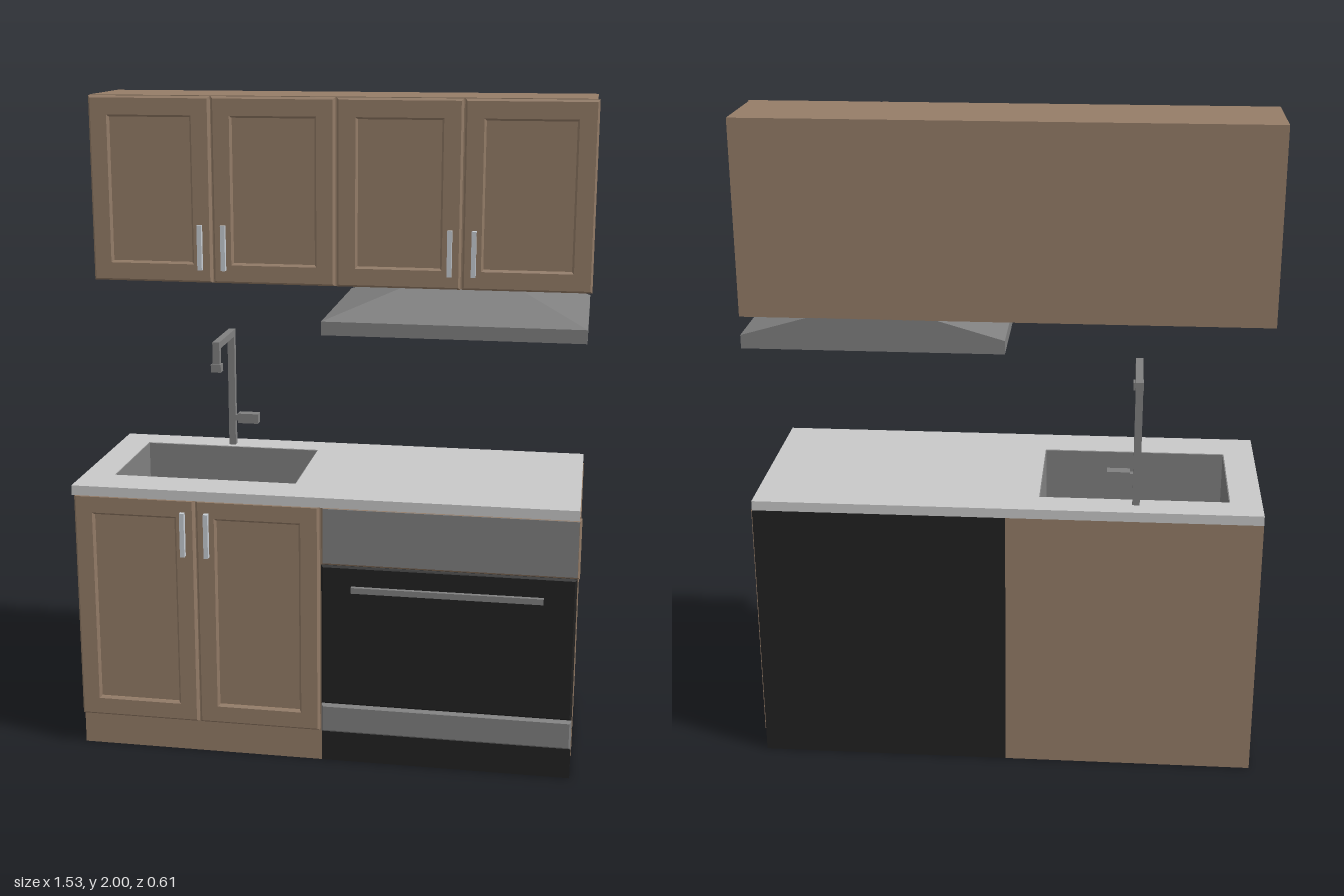
import * as THREE from 'three';

const mat = (name, color) => Object.assign(new THREE.MeshStandardMaterial({ color }), { name });

export function createModel() {
  const kitchen = new THREE.Group();
  kitchen.name = 'kitchenette';
  const wood = mat('wood', 0x957d68);
  const steel = mat('steel', 0x808080);
  const black = mat('ovenBlack', 0x222222);
  const stone = mat('worktopGrey', 0xc9c9c9);
  const chrome = mat('handleSilver', 0xc8ced4);

  const add = (name, geometry, material) => {
    const mesh = new THREE.Mesh(geometry, material);
    mesh.name = name;
    kitchen.add(mesh);
    return mesh;
  };
  // Box given by its limits on each axis
  const box = (name, material, x0, x1, y0, y1, z0, z1) => {
    const mesh = add(name, new THREE.BoxGeometry(x1 - x0, y1 - y0, z1 - z0), material);
    mesh.position.set((x0 + x1) / 2, (y0 + y1) / 2, (z0 + z1) / 2);
    return mesh;
  };
  // Rectangle outline, optionally with a rectangular hole
  const rect = (P, x0, x1, y0, y1) => new P([
    new THREE.Vector2(x0, y0), new THREE.Vector2(x1, y0),
    new THREE.Vector2(x1, y1), new THREE.Vector2(x0, y1),
  ]);
  const ring = (outer, inner) => {
    const shape = rect(THREE.Shape, ...outer);
    if (inner) shape.holes.push(rect(THREE.Path, ...inner));
    return shape;
  };
  const BEVEL = 0.006;
  // Front panel with chamfered edges, 0.022 thick, front face at z
  const front = (name, material, shape, z) => {
    const geometry = new THREE.ExtrudeGeometry(shape, {
      depth: 0.01, bevelEnabled: true, bevelSize: BEVEL, bevelThickness: BEVEL,
      bevelOffset: -BEVEL, bevelSegments: 1,
    });
    add(name, geometry, material).position.z = z - 0.022 + BEVEL;
  };
  // Horizontal slab with a hole; shape y is -z
  const slab = (name, material, outer, inner, y0, y1) => {
    const flip = ([a, b, c, d]) => [a, b, -d, -c];
    const geometry = new THREE.ExtrudeGeometry(ring(flip(outer), flip(inner)),
      { depth: y1 - y0, bevelEnabled: false });
    geometry.rotateX(-Math.PI / 2);
    add(name, geometry, material).position.y = y0;
  };

  // Framed door with a recessed panel and an upright handle
  const door = (name, x0, x1, y0, y1, z, handleX, handleY) => {
    const m = 0.062;
    front(name + 'Frame', wood, ring([x0, x1, y0, y1], [x0 + m, x1 - m, y0 + m, y1 - m]), z);
    box(name + 'Panel', wood, x0 + m - 0.008, x1 - m + 0.008, y0 + m - 0.008, y1 - m + 0.008, z - 0.021, z - 0.012);
    box(name + 'Handle', chrome, handleX - 0.007, handleX + 0.007, handleY, handleY + 0.138, z, z + 0.016);
  };

  // Wall cabinet
  const L = -0.765, R = 0.755, MID = -0.005, BACK = -0.305;
  box('wallCabinet', wood, L, R, 1.435, 2, BACK, -0.02);
  const wallDoors = [[L, -0.39, -0.425], [-0.385, -0.009, -0.352], [-0.003, 0.371, 0.338], [0.376, 0.762, 0.41]];
  wallDoors.forEach(([x0, x1, hx], i) => door('wallDoor' + (i + 1), x0, x1, 1.437, 1.998, 0, hx, 1.477));

  // Extractor hood: flat tray with a sloping canopy
  box('hoodTray', steel, MID, R, 1.34, 1.38, BACK, 0.262);
  const canopy = new THREE.BoxGeometry(1, 1, 1).toNonIndexed();
  const p = canopy.attributes.position;
  for (let i = 0; i < p.count; i++) {
    const top = p.getY(i) > 0, right = p.getX(i) > 0, ahead = p.getZ(i) > 0;
    p.setXYZ(i,
      top ? (right ? 0.56 : 0.19) : (right ? R : MID),
      top ? 1.436 : 1.38,
      ahead ? (top ? -0.01 : 0.262) : BACK);
  }
  canopy.computeVertexNormals();
  add('hoodCanopy', canopy, steel);

  // Sink cabinet, hollow around the basin
  const sink = [-0.67, -0.1, -0.21, 0.17];
  const grow = ([a, b, c, d], g) => [a - g, b + g, c - g, d + g];
  box('sinkCabinetBase', wood, L, MID, 0, 0.6, BACK, 0.265);
  slab('sinkCabinetTop', wood, [L, MID, BACK, 0.265], grow(sink, 0.02), 0.6, 0.83);
  door('sinkDoorRight', L, -0.39, 0.105, 0.828, 0.285, -0.425, 0.65);
  door('sinkDoorLeft', -0.385, -0.009, 0.105, 0.828, 0.285, -0.352, 0.65);

  // Worktop and sunken basin
  slab('worktop', stone, [L, R, BACK, 0.3], sink, 0.83, 0.86);
  slab('basinWalls', steel, grow(sink, 0.015), grow(sink, -0.003), 0.64, 0.858);
  box('basinFloor', steel, -0.68, -0.09, 0.63, 0.65, -0.22, 0.18);

  // Tap
  const tx = -0.39, tz = -0.24, t = 0.011;
  box('tapColumn', steel, tx - t, tx + t, 0.86, 1.245, tz - t, tz + t);
  box('tapArm', steel, tx - t, tx + t, 1.223, 1.245, tz, -0.027);
  box('tapSpout', steel, tx - t, tx + t, 1.17, 1.245, -0.049, -0.027);
  box('tapNozzle', steel, tx - 0.016, tx + 0.016, 1.15, 1.175, -0.054, -0.022);
  box('tapLeverNeck', steel, tx, -0.365, 0.942, 0.96, tz - 0.009, tz + 0.009);
  box('tapLever', steel, -0.37, -0.302, 0.935, 0.967, tz - 0.016, tz + 0.016);

  // Oven body with a wooden end panel
  box('ovenBody', black, MID, R, 0, 0.83, BACK, 0.265);
  box('endPanel', wood, R, R + 0.002, 0.075, 0.83, BACK, 0.265);

  // Oven front: control panel, glass door and lower drawer
  front('controlPanelBack', wood, ring([-0.003, 0.762, 0.645, 0.828]), 0.283);
  box('controlPanel', steel, 0.003, R, 0.652, 0.822, 0.282, 0.286);
  front('ovenDoor', black, ring([-0.003, R, 0.197, 0.645]), 0.285);
  front('ovenDrawer', steel, ring([-0.003, R, 0.103, 0.193]), 0.285);
  box('ovenHandle', steel, 0.09, 0.66, 0.568, 0.586, 0.292, 0.305);
  for (const x of [0.11, 0.64]) box('ovenHandlePost', steel, x - 0.008, x + 0.008, 0.571, 0.583, 0.283, 0.294);

  return kitchen;
}
